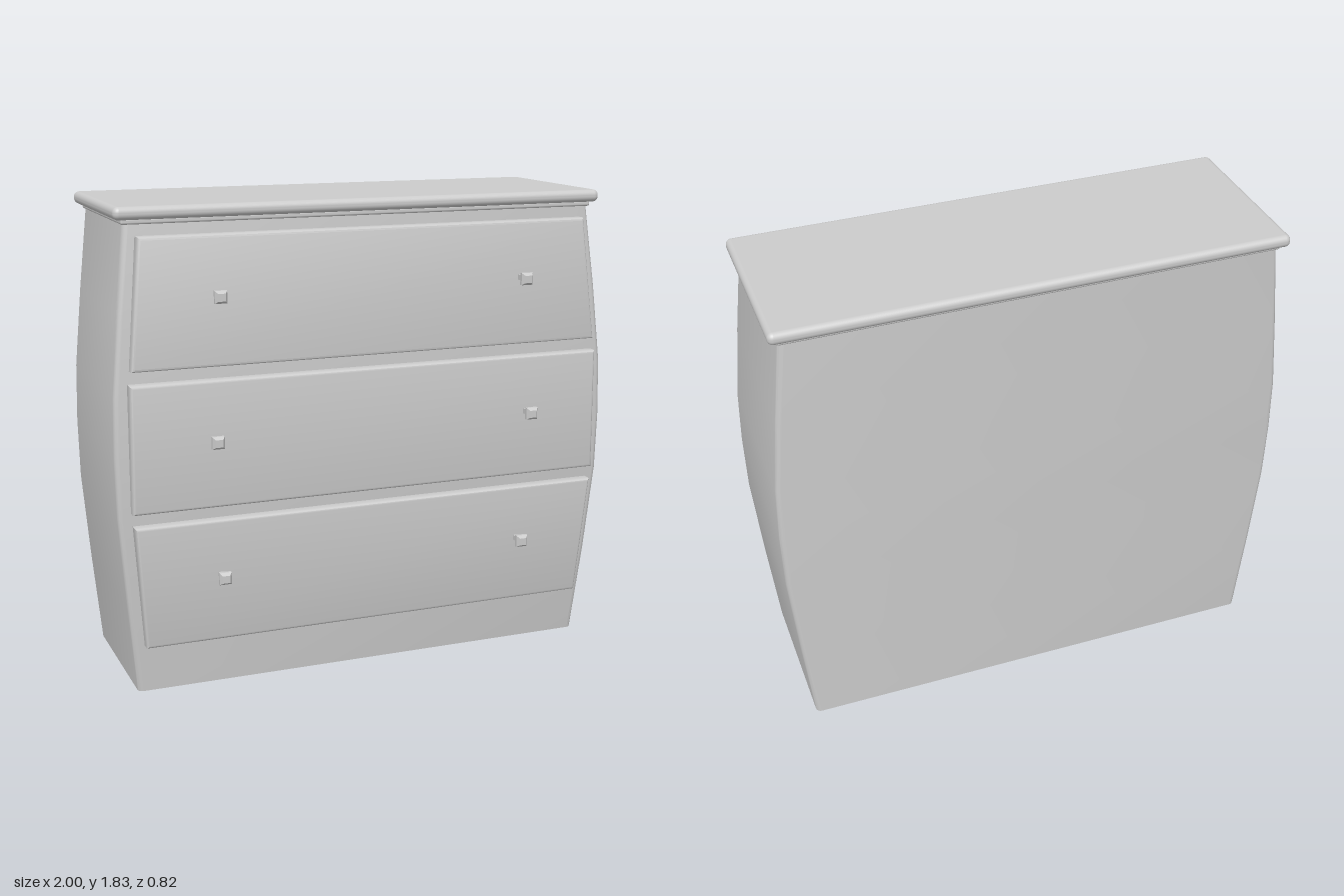
import * as THREE from 'three';
import { toCreasedNormals } from 'three/addons/utils/BufferGeometryUtils.js';
import { RoundedBoxGeometry } from 'three/addons/geometries/RoundedBoxGeometry.js';

const material = new THREE.MeshStandardMaterial({ color: 0xcccccc });
const shellMaterial = new THREE.MeshStandardMaterial({ color: 0xcccccc, side: THREE.DoubleSide });

// Barrel profile of the cabinet: height, half width, front depth
const profile = [
  [0, 0.93, 0.255], [0.35, 0.965, 0.28], [0.7, 0.995, 0.298], [0.93, 1.0, 0.3],
  [1.15, 0.995, 0.298], [1.45, 0.967, 0.282], [1.79, 0.93, 0.256],
];
const BACK = -0.375;

function frontAt(y) {
  const i = Math.max(1, profile.findIndex((p) => p[0] >= y));
  const [a, b] = [profile[i - 1], profile[i]];
  return THREE.MathUtils.lerp(a[2], b[2], (y - a[0]) / (b[0] - a[0]));
}

function addMesh(parent, name, geometry, mat = material) {
  const mesh = new THREE.Mesh(geometry, mat);
  mesh.name = name;
  parent.add(mesh);
  return mesh;
}

// Open-bottomed shell made of rounded rectangular rings
function cabinetGeometry() {
  const radius = 0.02, steps = 4, positions = [], index = [];
  const count = 4 * (steps + 1);
  for (const [y, w, f] of profile) {
    for (let c = 0; c < 4; c++) {
      const sx = c === 0 || c === 3 ? 1 : -1;
      const cx = sx * (w - radius);
      const cz = c < 2 ? f - radius : BACK + radius;
      for (let s = 0; s <= steps; s++) {
        const a = (c + s / steps) * Math.PI / 2;
        positions.push(cx + radius * Math.cos(a), y, cz + radius * Math.sin(a));
      }
    }
  }
  for (let r = 0; r < profile.length - 1; r++) {
    for (let i = 0; i < count; i++) {
      const a = r * count + i, b = r * count + (i + 1) % count;
      index.push(a, a + count, b, b, a + count, b + count);
    }
  }
  const g = new THREE.BufferGeometry();
  g.setAttribute('position', new THREE.Float32BufferAttribute(positions, 3));
  g.setIndex(index);
  return toCreasedNormals(g, 0.5);
}

// Bevelled trapezoid panel, sheared to follow the cabinet front
function drawerGeometry(y0, y1, w0, w1) {
  const shape = new THREE.Shape([
    new THREE.Vector2(-w0, y0), new THREE.Vector2(w0, y0),
    new THREE.Vector2(w1, y1), new THREE.Vector2(-w1, y1),
  ]);
  const bevel = 0.012;
  const g = new THREE.ExtrudeGeometry(shape, {
    depth: 0.031, bevelEnabled: true, bevelThickness: bevel,
    bevelSize: bevel, bevelOffset: -bevel, bevelSegments: 3,
  });
  const p = g.attributes.position;
  const z0 = frontAt(y0), z1 = frontAt(y1);
  for (let i = 0; i < p.count; i++) {
    const t = (p.getY(i) - y0) / (y1 - y0);
    p.setZ(i, p.getZ(i) + 0.003 + z0 + (z1 - z0) * t);
  }
  return toCreasedNormals(g, 0.6);
}

// Square knob with a thin stem, pointing along +z
function knobGeometry() {
  const points = [[0.015, -0.01], [0.013, 0.028], [0.033, 0.042], [0.033, 0.054], [0.02, 0.067], [0, 0.067]]
    .map(([r, h]) => new THREE.Vector2(r, h));
  const g = new THREE.LatheGeometry(points, 4);
  g.rotateY(Math.PI / 4).rotateX(Math.PI / 2);
  return toCreasedNormals(g, 0.6);
}

export function createModel() {
  const group = new THREE.Group();
  group.name = 'chestOfDrawers';

  addMesh(group, 'cabinet', cabinetGeometry(), shellMaterial);

  // Top board with a slim moulding beneath it
  addMesh(group, 'topBoard', new RoundedBoxGeometry(1.94, 0.048, 0.695, 4, 0.022))
    .position.set(0, 1.806, -0.06);
  addMesh(group, 'topMoulding', new RoundedBoxGeometry(1.88, 0.022, 0.645, 2, 0.008))
    .position.set(0, 1.776, -0.058);

  // Drawers: bottom, top, half width at bottom, half width at top, knob x, knob y
  const drawers = [
    ['bottomDrawer', 0.19, 0.67, 0.905, 0.942, 0.617, 0.455],
    ['middleDrawer', 0.72, 1.2, 0.947, 0.945, 0.638, 0.98],
    ['topDrawer', 1.248, 1.725, 0.936, 0.892, 0.612, 1.508],
  ];
  const knob = knobGeometry();
  for (const [name, y0, y1, w0, w1, kx, ky] of drawers) {
    const drawer = new THREE.Group();
    drawer.name = name;
    addMesh(drawer, 'drawerFront', drawerGeometry(y0, y1, w0, w1));
    for (const side of [-1, 1]) {
      addMesh(drawer, side < 0 ? 'rightKnob' : 'leftKnob', knob)
        .position.set(side * kx, ky, frontAt(ky) + 0.044);
    }
    group.add(drawer);
  }
  return group;
}
